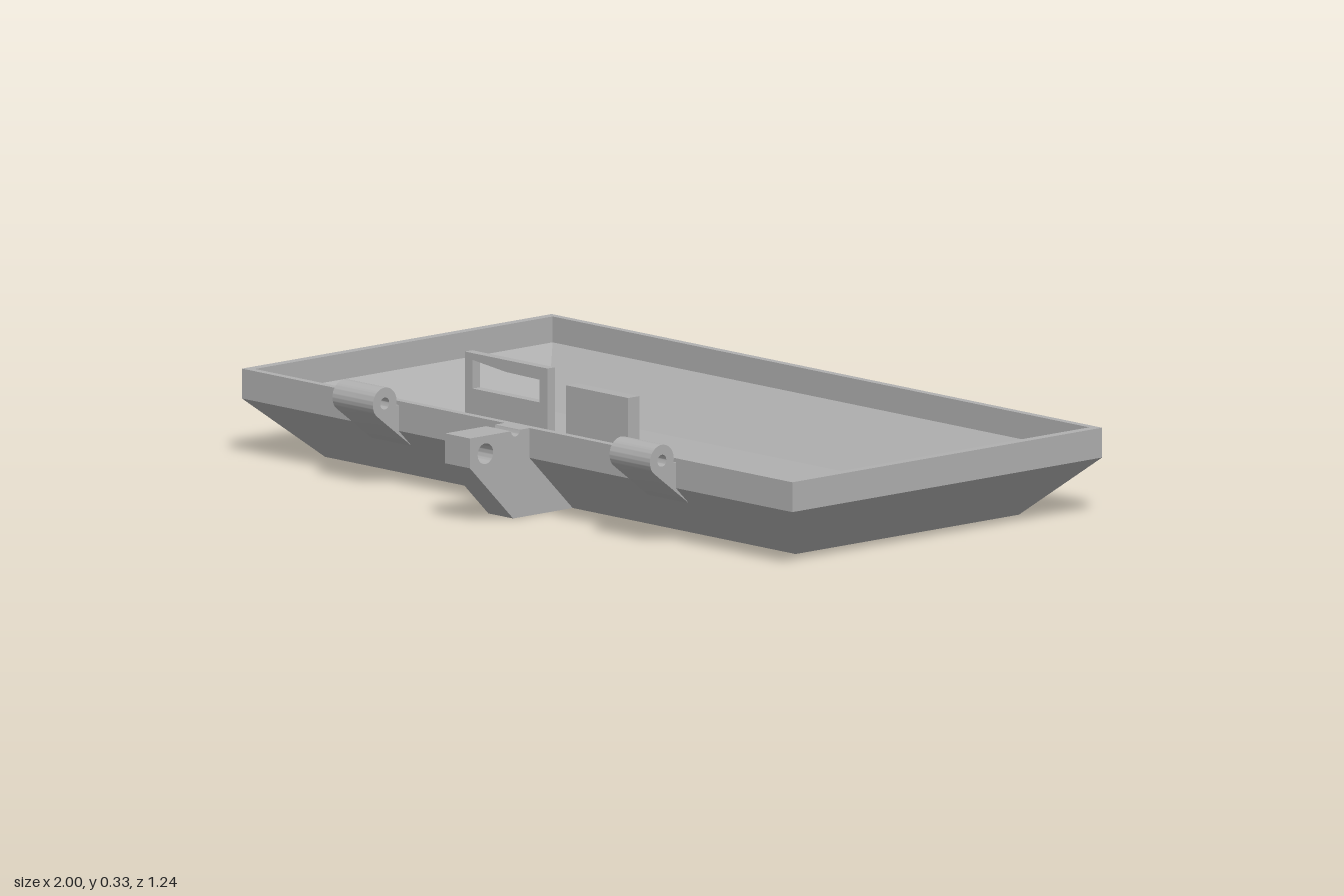
import * as THREE from 'three';
import { toCreasedNormals } from 'three/addons/utils/BufferGeometryUtils.js';

const WALL_OUT = -0.275, WALL_IN = -0.245; // sloped front wall: y = z + offset
const HOLE = { x: -0.16, z: 0.32, r: 0.033 };

// Turns a surface inside out
function flip(geo) {
  geo.index.array.reverse();
  geo.computeVertexNormals();
  return geo;
}

// Lays four-sided faces between successive rectangular rings
function ringWalls(rings, skipFront) {
  const pos = [];
  const corners = ([x, back, front, y]) =>
    [[-x, y, front], [x, y, front], [x, y, back], [-x, y, back]];
  for (let i = 0; i < rings.length - 1; i++) {
    const lo = corners(rings[i]), hi = corners(rings[i + 1]);
    for (let k = 0; k < 4; k++) {
      if (k === 0 && skipFront.includes(i)) continue;
      const n = (k + 1) % 4;
      pos.push(...lo[k], ...lo[n], ...hi[n], ...lo[k], ...hi[n], ...hi[k]);
    }
  }
  const geo = new THREE.BufferGeometry();
  geo.setAttribute('position', new THREE.Float32BufferAttribute(pos, 3));
  geo.computeVertexNormals();
  return geo;
}

// Sloped trapezoid face with the drain hole cut straight down through it
function holedSlope(x0, z0, x1, z1, offset) {
  const shape = new THREE.Shape([[-x1, -z1], [x1, -z1], [x0, -z0], [-x0, -z0]]
    .map(p => new THREE.Vector2(...p)));
  shape.holes.push(new THREE.Path().absarc(HOLE.x, -HOLE.z, HOLE.r, 0, Math.PI * 2, true));
  const geo = new THREE.ShapeGeometry(shape, 16).rotateX(-Math.PI / 2);
  const p = geo.attributes.position;
  for (let i = 0; i < p.count; i++) p.setY(i, p.getZ(i) + offset);
  geo.computeVertexNormals();
  return geo;
}

// Extrudes a (z, y) side profile across x, from x0 to x0 + width
function sideExtrude(shape, x0, width) {
  const geo = new THREE.ExtrudeGeometry(shape, { depth: width, bevelEnabled: false, curveSegments: 24 });
  geo.rotateY(-Math.PI / 2).translate(x0 + width, 0, 0);
  return toCreasedNormals(geo, 0.5);
}

export function createModel() {
  const group = new THREE.Group();
  const grey = new THREE.MeshStandardMaterial({ color: 0xb0b0b0 });
  grey.name = 'plain grey';
  const add = (name, geo, parent = group) => {
    const mesh = new THREE.Mesh(geo, grey);
    mesh.name = name;
    parent.add(mesh);
    return mesh;
  };

  // Tray shell: outside, rim and inside
  add('trayShell', ringWalls([
    [0.855, -0.475, 0.275, 0],
    [1, -0.62, 0.42, 0.145],
    [1, -0.62, 0.42, 0.22],
    [0.975, -0.6, 0.4, 0.22],
    [0.975, -0.6, 0.4, 0.155],
    [0.845, -0.465, 0.265, 0.02],
  ], [0, 4]));
  add('frontSlopeOutside', flip(holedSlope(0.855, 0.275, 1, 0.42, WALL_OUT)));
  add('frontSlopeInside', holedSlope(0.845, 0.265, 0.975, 0.4, WALL_IN));

  // Lining of the drain hole
  const lining = new THREE.CylinderGeometry(HOLE.r, HOLE.r, 1, 32, 1, true).translate(HOLE.x, 0, HOLE.z);
  const lp = lining.attributes.position;
  for (let i = 0; i < lp.count; i++) lp.setY(i, lp.getZ(i) + (lp.getY(i) > 0 ? WALL_IN : WALL_OUT));
  add('drainHole', flip(lining));

  // Floor, and underside split into panels by shallow grooves
  add('floor', new THREE.PlaneGeometry(1.69, 0.73).rotateX(-Math.PI / 2).translate(0, 0.02, -0.1));
  const G = 0.008;
  add('grooveBed', new THREE.PlaneGeometry(1.71, 0.75).rotateX(Math.PI / 2).translate(0, G, -0.1));
  const underside = new THREE.Group();
  underside.name = 'undersidePanels';
  group.add(underside);
  const xs = [-0.855, -0.835, -0.46, 0.46, 0.835, 0.855];
  const zs = [-0.475, -0.455, 0.255, 0.275];
  for (let i = 0; i < xs.length - 1; i++) for (let j = 0; j < zs.length - 1; j++) {
    const xa = xs[i] + (i ? G / 2 : 0), xb = xs[i + 1] - (i < xs.length - 2 ? G / 2 : 0);
    const za = zs[j] + (j ? G / 2 : 0), zb = zs[j + 1] - (j < zs.length - 2 ? G / 2 : 0);
    add('undersidePanel', new THREE.BoxGeometry(xb - xa, G, zb - za)
      .translate((xa + xb) / 2, G / 2, (za + zb) / 2), underside);
  }

  // Two hinge knuckles with pin holes
  const pin = [0.467, 0.22];
  const knuckle = new THREE.Shape();
  knuckle.moveTo(0.405, 0.21);
  knuckle.lineTo(0.428, 0.21);
  knuckle.absarc(...pin, 0.04, Math.PI, -Math.PI / 4, true);
  knuckle.lineTo(0.372, 0.098);
  knuckle.lineTo(0.405, 0.145);
  knuckle.holes.push(new THREE.Path().absarc(...pin, 0.015, 0, Math.PI * 2, false));
  add('leftHinge', sideExtrude(knuckle, 0.43, 0.147));
  add('rightHinge', sideExtrude(knuckle, -0.577, 0.147));

  // Middle latch lug with a pin groove on top and a padlock hole
  const lug = new THREE.Shape();
  lug.moveTo(0.275, 0);
  lug.lineTo(0.475, 0);
  lug.lineTo(0.62, 0.145);
  lug.lineTo(0.62, 0.22);
  lug.lineTo(0.482, 0.22);
  lug.absarc(...pin, 0.015, 0, -Math.PI, true);
  lug.lineTo(0.42, 0.22);
  lug.lineTo(0.42, 0.145);
  lug.holes.push(new THREE.Path().absarc(0.568, 0.175, 0.026, 0, Math.PI * 2, false));
  add('latchLug', sideExtrude(lug, -0.045, 0.09));

  // Upright plates standing on the floor
  const plate = new THREE.Shape([[-0.385, 0.02], [-0.085, 0.02], [-0.085, 0.327], [-0.385, 0.327]]
    .map(p => new THREE.Vector2(...p)));
  plate.holes.push(new THREE.Path([[-0.357, 0.238], [-0.357, 0.31], [-0.235, 0.297], [-0.113, 0.295], [-0.113, 0.238]]
    .map(p => new THREE.Vector2(...p))));
  add('slottedPlate', new THREE.ExtrudeGeometry(plate, { depth: 0.025, bevelEnabled: false }).translate(0, 0, 0.215));
  add('plainPlate', new THREE.BoxGeometry(0.225, 0.262, 0.038).translate(0.0475, 0.151, 0.176));

  return group;
}
